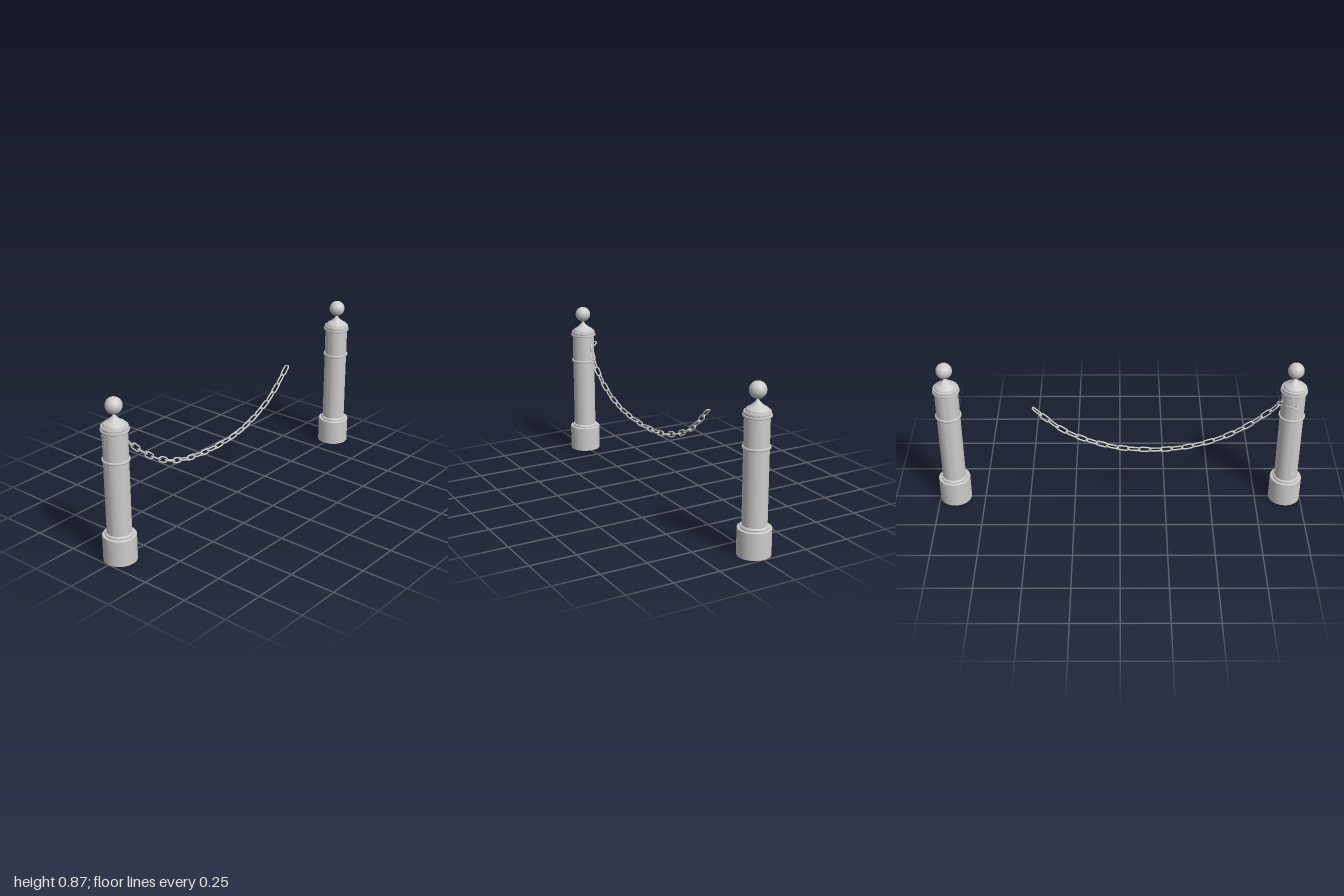
import * as THREE from 'three';
import { toCreasedNormals } from 'three/addons/utils/BufferGeometryUtils.js';

const material = new THREE.MeshStandardMaterial({ color: 0xcccccc });

function mesh(name, geometry) {
  const m = new THREE.Mesh(geometry, material);
  m.name = name;
  return m;
}

// Turned part from [radius, height] pairs, with sharp steps kept sharp
function turned(name, profile) {
  const points = profile.map(([r, y]) => new THREE.Vector2(r, y));
  return mesh(name, toCreasedNormals(new THREE.LatheGeometry(points, 48), 0.6));
}

function createPost(name, x) {
  const post = new THREE.Group();
  post.name = name;
  post.position.x = x;
  post.add(
    turned('base', [[0, 0], [0.086, 0], [0.086, 0.139], [0.083, 0.143], [0.072, 0.143],
      [0.073, 0.149], [0.069, 0.155], [0.062, 0.156]]),
    turned('shaft', [[0.063, 0.15], [0.063, 0.705]]),
    turned('middleBand', [[0.062, 0.543], [0.068, 0.543], [0.07, 0.546], [0.07, 0.553],
      [0.068, 0.556], [0.062, 0.556]]),
    turned('cap', [[0.062, 0.7], [0.07, 0.7], [0.072, 0.703], [0.072, 0.709], [0.07, 0.712],
      [0.066, 0.712], [0.068, 0.717], [0.068, 0.723], [0.066, 0.728], [0.058, 0.728],
      [0.057, 0.735], [0.052, 0.741], [0.043, 0.746], [0.033, 0.752], [0.022, 0.762],
      [0.012, 0.772], [0.006, 0.781], [0.005, 0.79]])
  );
  const ball = mesh('ballFinial', new THREE.SphereGeometry(0.043, 40, 24));
  ball.position.y = 0.828;
  post.add(ball);
  return post;
}

// Oval link lying in its own xy plane, long side on x
function linkGeometry() {
  const wire = 0.0043, bend = 0.0125, straight = 0.02;
  const points = [];
  for (const side of [1, -1]) {
    for (let i = 0; i <= 6; i++) {
      const a = -Math.PI / 2 + (i / 6) * Math.PI;
      points.push(new THREE.Vector3(side * (straight + bend * Math.cos(a)), side * bend * Math.sin(a), 0));
    }
  }
  const path = new THREE.CatmullRomCurve3(points, true);
  return new THREE.TubeGeometry(path, 40, wire, 8, true);
}

function createChain() {
  const chain = new THREE.Group();
  chain.name = 'chain';
  // Sagging line, hooked behind the first post and free at the other end
  const line = new THREE.CatmullRomCurve3([
    [-0.9, 0.645, -0.06], [-0.855, 0.637, -0.02], [-0.8, 0.582, -0.006], [-0.7, 0.493, 0],
    [-0.6, 0.428, 0], [-0.5, 0.383, -0.003], [-0.4, 0.355, -0.008], [-0.29, 0.338, -0.013],
    [-0.17, 0.332, -0.015], [0, 0.345, -0.015], [0.1, 0.37, -0.015], [0.2, 0.407, -0.015],
    [0.3, 0.46, -0.015], [0.4, 0.543, -0.015], [0.44, 0.583, -0.015]
  ].map(p => new THREE.Vector3(...p)));
  const geometry = linkGeometry();
  const last = Math.round(line.getLength() / 0.0575);
  for (let i = 0; i <= last; i++) {
    const along = line.getTangentAt(i / last);
    const side = new THREE.Vector3(0, 0, 1).addScaledVector(along, -along.z).normalize();
    const up = new THREE.Vector3().crossVectors(side, along);
    const link = mesh('chainLink', geometry);
    link.quaternion.setFromRotationMatrix(new THREE.Matrix4().makeBasis(along, up, side));
    // Every other link turns a quarter; the free end link lies flat
    if ((last - i) % 2 === 0) link.rotateX(Math.PI / 2);
    link.position.copy(line.getPointAt(i / last));
    chain.add(link);
  }
  return chain;
}

export function createModel() {
  const model = new THREE.Group();
  model.name = 'chainBarrier';
  model.add(createPost('rightPost', -0.914), createPost('leftPost', 0.914), createChain());
  return model;
}
